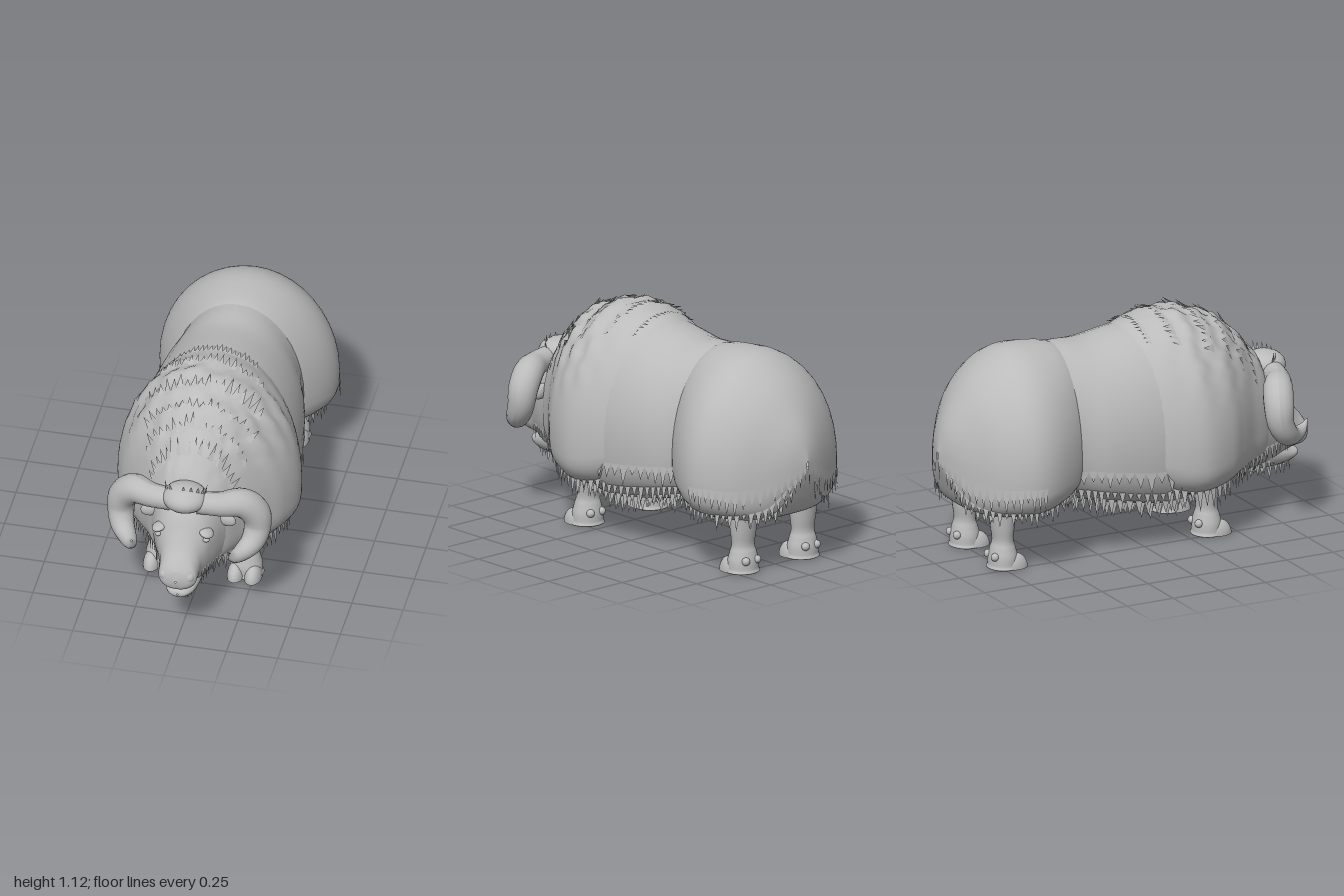
import * as THREE from 'three';

const coat = new THREE.MeshStandardMaterial({ color: 0xbbbbbb, side: THREE.DoubleSide });
coat.name = 'coat grey';

let seed = 7;
const rand = () => (seed = (seed * 16807) % 2147483647) / 2147483647;
const V = (x, y, z) => new THREE.Vector3(x, y, z);

// Catmull-Rom interpolation of one column of a station table
function mix(st, u, k) {
  const n = st.length - 1, i = Math.min(n - 1, Math.floor(u)), t = u - i;
  const p = (j) => st[Math.max(0, Math.min(n, j))][k];
  const a = p(i - 1), b = p(i), c = p(i + 1), d = p(i + 2);
  const m0 = (c - a) / 2, m1 = (d - b) / 2, t2 = t * t, t3 = t2 * t;
  return b + m0 * t + (3 * (c - b) - 2 * m0 - m1) * t2 + (2 * (b - c) + m0 + m1) * t3;
}

// Surface through stations [z, top, bottom, halfWidth, midHeight]; e squares the lower half
const surface = (st, e = 1, woolly = false) => (u, a) => {
  const [z, top, bot, w, mid] = [0, 1, 2, 3, 4].map((k) => mix(st, u, k));
  const c = Math.cos(a), s = Math.sin(a), q = s < 0 ? e : 1;
  const p = V(w * Math.sign(c) * Math.abs(c) ** q,
    s < 0 ? mid - (mid - bot) * Math.abs(s) ** q : mid + (top - mid) * s, z);
  if (woolly) {
    const f = THREE.MathUtils.smoothstep(p.y, 0.65, 0.9) * THREE.MathUtils.smoothstep(z, 0, 0.3);
    const n = 0.014 * f * Math.sin(z * 47 + 3 * Math.sin(a * 5)) * Math.cos(a * 13 + z * 9);
    p.x += n * c; p.y += n * s;
  }
  return p;
};

function loft(P, uMax, nu = 48, na = 40) {
  const pos = [], idx = [];
  for (let i = 0; i <= nu; i++) for (let j = 0; j < na; j++)
    pos.push(...P((i / nu) * uMax, (j / na) * Math.PI * 2).toArray());
  for (let i = 0; i < nu; i++) for (let j = 0; j < na; j++) {
    const a = i * na + j, b = i * na + (j + 1) % na;
    idx.push(a, a + na, b, b, a + na, b + na);
  }
  const g = new THREE.BufferGeometry();
  g.setAttribute('position', new THREE.Float32BufferAttribute(pos, 3));
  g.setIndex(idx);
  g.computeVertexNormals();
  return g;
}

// Ragged row of hair points from a root line towards a tip line
function fringe(root, tip, n) {
  const pos = [];
  for (let i = 0; i < n; i++) {
    const t = (i + 0.5) / n, end = root(t).lerp(tip(t), 0.5 + 0.6 * rand());
    pos.push(...root(i / n).toArray(), ...end.toArray(), ...root((i + 1) / n).toArray());
  }
  const g = new THREE.BufferGeometry();
  g.setAttribute('position', new THREE.Float32BufferAttribute(pos, 3));
  g.computeVertexNormals();
  return g;
}

export function createModel() {
  const model = new THREE.Group();
  model.name = 'muskOx';
  const add = (name, geo, parent = model) => {
    const m = new THREE.Mesh(geo, coat);
    m.name = name;
    parent.add(m);
    return m;
  };
  const blob = (name, x, y, z, sx, sy, sz, parent) => {
    const m = add(name, new THREE.SphereGeometry(1, 20, 14), parent);
    m.position.set(x, y, z);
    m.scale.set(sx, sy, sz);
    return m;
  };
  const side = (s, a) => (s > 0 ? a : Math.PI - a);

  // Three overlapping masses of the body
  const mantle = surface([[0.78, 0.62, 0.4, 0.06, 0.5], [0.72, 0.79, 0.3, 0.17, 0.5],
    [0.6, 0.93, 0.27, 0.25, 0.5], [0.5, 1.015, 0.25, 0.33, 0.5], [0.4, 1.06, 0.23, 0.4, 0.48],
    [0.25, 1.095, 0.22, 0.445, 0.46], [0.1, 1.075, 0.25, 0.41, 0.48],
    [-0.02, 1.03, 0.35, 0.34, 0.5], [-0.1, 0.96, 0.45, 0.2, 0.6]], 0.6, true);
  const barrel = surface([[0.4, 1.0, 0.25, 0.3, 0.5], [0.2, 1.06, 0.17, 0.37, 0.5],
    [0, 1.04, 0.19, 0.385, 0.5], [-0.2, 1.01, 0.23, 0.365, 0.52],
    [-0.35, 1.015, 0.27, 0.325, 0.52], [-0.55, 1.0, 0.32, 0.3, 0.52], [-0.65, 0.9, 0.4, 0.2, 0.55]], 0.65);
  const rump = surface([[-0.28, 0.93, 0.45, 0.2, 0.6], [-0.36, 1.01, 0.33, 0.31, 0.52],
    [-0.5, 1.035, 0.27, 0.4, 0.5], [-0.62, 1.03, 0.25, 0.435, 0.48], [-0.72, 0.985, 0.25, 0.41, 0.48],
    [-0.82, 0.9, 0.26, 0.33, 0.47], [-0.9, 0.79, 0.3, 0.21, 0.48],
    [-0.955, 0.68, 0.42, 0.1, 0.52], [-0.985, 0.56, 0.52, 0.005, 0.54]], 0.6);
  add('shoulderMantle', loft(mantle, 8, 72, 60));
  add('barrel', loft(barrel, 6));
  add('hindquarters', loft(rump, 8));

  // Hems hanging along a surface from u0 to u1 at angle a
  const hem = (name, P, u0, u1, a, drop, n, flare = 1.02) => {
    const at = (t) => P(u0 + (u1 - u0) * t, a);
    const root = (t) => { const p = at(t); p.x *= 1.005; p.y += 0.02; return p; };
    add(name, fringe(root, (t) => { const p = at(t); p.x *= flare; p.y -= drop; return p; }, n));
  };
  for (const s of [1, -1]) {
    hem('shoulderHem', mantle, 1, 7, side(s, -0.7), 0.09, 24);
    hem('shoulderInnerHem', mantle, 1, 6, side(s, -1.0), 0.07, 20);
    hem('flankHair', barrel, 1.2, 4.5, side(s, -0.2), 0.08, 12);
    hem('flankHem', barrel, 1, 4.8, side(s, -0.6), 0.08, 18);
    for (const a of [-0.9, -1.15, -1.35]) hem('bellyHair', barrel, 0.2, 4.5, side(s, a), 0.075, 18);
    hem('rumpHem', rump, 1, 7.4, side(s, -0.7), 0.07, 24);
    hem('rumpInnerHem', rump, 2, 7, side(s, -1.1), 0.05, 18);
    hem('rumpUpperHair', rump, 3, 8, side(s, -0.1), 0.1, 18);
  }
  hem('bellyCentreHair', barrel, 0, 4.5, -Math.PI / 2, 0.08, 24);

  // Ragged wool rows over the hump, lying towards the back
  for (const [u, a0] of [[1.6, 0.5], [2.4, 0.6], [3.2, 0.75], [4.2, 0.85], [5.3, 0.95], [6.2, 1.05]]) {
    const at = (du, lift) => (t) => {
      const a = a0 + (Math.PI - 2 * a0) * t, p = mantle(u + du, a);
      return p.add(V(Math.cos(a) * lift, Math.sin(a) * lift, 0));
    };
    add('humpWool', fringe(at(0, 0), at(0.45, 0.022), 18));
  }

  // Head, lower jaw and beard
  const head = new THREE.Group();
  head.name = 'head';
  model.add(head);
  const skull = surface([[0.995, 0.375, 0.365, 0.004, 0.37], [0.985, 0.42, 0.325, 0.06, 0.37],
    [0.96, 0.46, 0.305, 0.09, 0.375], [0.92, 0.51, 0.295, 0.095, 0.39], [0.88, 0.58, 0.28, 0.102, 0.43],
    [0.83, 0.67, 0.25, 0.13, 0.49], [0.75, 0.73, 0.23, 0.165, 0.5], [0.62, 0.76, 0.22, 0.2, 0.5],
    [0.5, 0.7, 0.3, 0.12, 0.5]], 0.9);
  const jaw = surface([[0.955, 0.27, 0.26, 0.004, 0.265], [0.945, 0.285, 0.245, 0.04, 0.265],
    [0.9, 0.3, 0.225, 0.068, 0.265], [0.83, 0.34, 0.21, 0.085, 0.28], [0.7, 0.38, 0.21, 0.1, 0.3]]);
  add('skull', loft(skull, 8), head);
  add('lowerJaw', loft(jaw, 4, 24, 24), head);
  blob('noseBridge', 0, 0.4, 0.955, 0.06, 0.045, 0.035, head);
  for (const s of [1, -1]) {
    hem('cheekHair', skull, 4.2, 7, side(s, -0.5), 0.07, 10);
    hem('throatHair', skull, 4.5, 7.5, side(s, -1.05), 0.06, 10);
    hem('beard', jaw, 1.8, 4, side(s, -1.1), 0.06, 8);
    blob('nostril', s * 0.06, 0.385, 0.96, 0.026, 0.03, 0.026, head);
    blob('eye', s * 0.117, 0.535, 0.842, 0.018, 0.014, 0.022, head);
    blob('brow', s * 0.115, 0.568, 0.835, 0.036, 0.018, 0.04, head).rotation.z = s * -0.35;
    blob('ear', s * 0.185, 0.57, 0.715, 0.05, 0.035, 0.02, head).rotation.z = s * -0.4;
  }

  // Horn boss and curling horns
  blob('hornBoss', 0, 0.725, 0.785, 0.11, 0.068, 0.1, head);
  const bossRim = (r, y) => (t) => V(r * Math.cos(t * Math.PI), y, 0.77 + 0.05 * Math.sin(t * Math.PI));
  add('bossTuft', fringe(bossRim(0.1, 0.755), bossRim(0.11, 0.815), 9), head);
  const path = new THREE.CatmullRomCurve3([[0.06, 0.705, 0.79], [0.17, 0.695, 0.765], [0.265, 0.68, 0.715],
    [0.322, 0.615, 0.69], [0.333, 0.54, 0.692], [0.318, 0.475, 0.73], [0.28, 0.445, 0.79],
    [0.25, 0.455, 0.85], [0.238, 0.5, 0.89]].map((p) => V(...p)));
  const radii = [0.055, 0.06, 0.072, 0.072, 0.065, 0.058, 0.044, 0.028, 0.003].map((r) => [r]);
  for (const s of [1, -1]) {
    const n = 40, ring = 18, g = new THREE.TubeGeometry(path, n, 1, ring);
    const p = g.attributes.position;
    for (let i = 0; i < p.count; i++) {
      const t = Math.floor(i / (ring + 1)) / n, c = path.getPointAt(t);
      const r = mix(radii, path.getUtoTmapping(t) * 8, 0);
      const v = V(0, 0, 0).fromBufferAttribute(p, i).sub(c).multiplyScalar(r).add(c);
      p.setXYZ(i, v.x * s, v.y, v.z);
    }
    if (s < 0) g.setIndex(Array.from(g.index.array).reverse());
    g.computeVertexNormals();
    add('horn', g, head);
  }

  // Legs with cloven hooves
  const legShape = surface([[0.42, 0.08, -0.08, 0.09, 0], [0.22, 0.06, -0.055, 0.07, 0],
    [0.14, 0.05, -0.05, 0.06, 0], [0.1, 0.06, -0.06, 0.068, 0], [0.06, 0.07, -0.07, 0.078, 0],
    [0.02, 0.072, -0.07, 0.08, 0], [0, 0.072, -0.07, 0.08, 0], [0, 0.001, -0.001, 0.001, 0]]);
  const legGeo = loft(legShape, 7, 42, 24).rotateX(-Math.PI / 2);
  const lp = legGeo.attributes.position;
  for (let i = 0; i < lp.count; i++) lp.setY(i, Math.max(0, lp.getY(i)));
  const toeGeo = new THREE.SphereGeometry(1, 16, 8, 0, Math.PI * 2, 0, Math.PI / 2);
  for (const [name, x, z] of [['frontLeg', 0.205, 0.36], ['hindLeg', 0.19, -0.735]])
    for (const s of [1, -1]) {
      const leg = new THREE.Group();
      leg.name = name;
      leg.position.set(s * x, 0, z);
      model.add(leg);
      add('shank', legGeo, leg);
      for (const t of [1, -1]) {
        const toe = add('toe', toeGeo, leg);
        toe.position.set(t * 0.042, 0, 0.04);
        toe.scale.set(0.043, 0.075, 0.07);
        blob('dewclaw', t * 0.035, 0.065, -0.06, 0.02, 0.02, 0.02, leg);
      }
    }
  return model;
}
